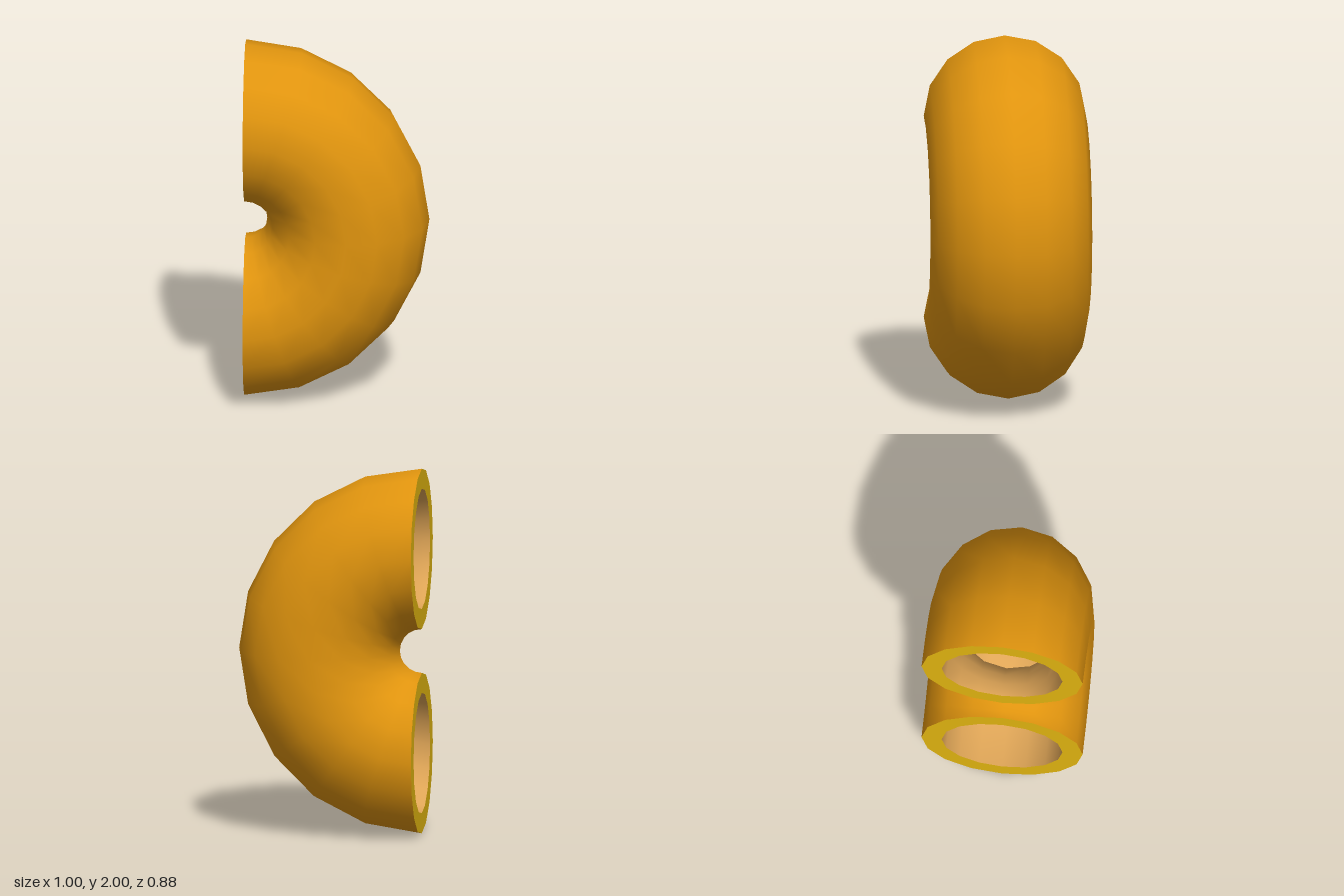
import * as THREE from 'three';

const BEND = 0.56;   // radius of the bend's centre line
const OUTER = 0.44;  // outside radius of the pipe
const INNER = 0.33;  // radius of the bore
const SIDES = 16, STEPS = 10;

const orange = new THREE.MeshStandardMaterial({ color: 0xe0940e });
orange.name = 'orange';
const yellow = new THREE.MeshStandardMaterial({ color: 0xe0b410 });
yellow.name = 'yellow';
const tan = new THREE.MeshStandardMaterial({ color: 0xe0a657 });
tan.name = 'tan';

// Half ring in the xy plane, bulging towards +x
function halfTorus(radius) {
  return new THREE.TorusGeometry(BEND, radius, SIDES, STEPS, Math.PI).rotateZ(-Math.PI / 2);
}

// Turn a surface inside out
function invert(geometry) {
  geometry.index.array.reverse();
  const normals = geometry.attributes.normal.array;
  for (let i = 0; i < normals.length; i++) normals[i] *= -1;
  return geometry;
}

export function createModel() {
  const model = new THREE.Group();
  model.name = 'pipeBend';

  function add(name, geometry, material, y) {
    const mesh = new THREE.Mesh(geometry, material);
    mesh.name = name;
    mesh.position.set(-0.5, y, 0);
    model.add(mesh);
  }

  // Outside wall and bore
  add('outerWall', halfTorus(OUTER), orange, 1);
  add('bore', invert(halfTorus(INNER)), tan, 1);

  // Flat rims closing the wall at both ends, facing -x
  for (const [name, side] of [['topRim', 1], ['bottomRim', -1]]) {
    const rim = new THREE.RingGeometry(INNER, OUTER, SIDES).rotateY(-Math.PI / 2);
    add(name, rim, yellow, 1 + side * BEND);
  }
  return model;
}
